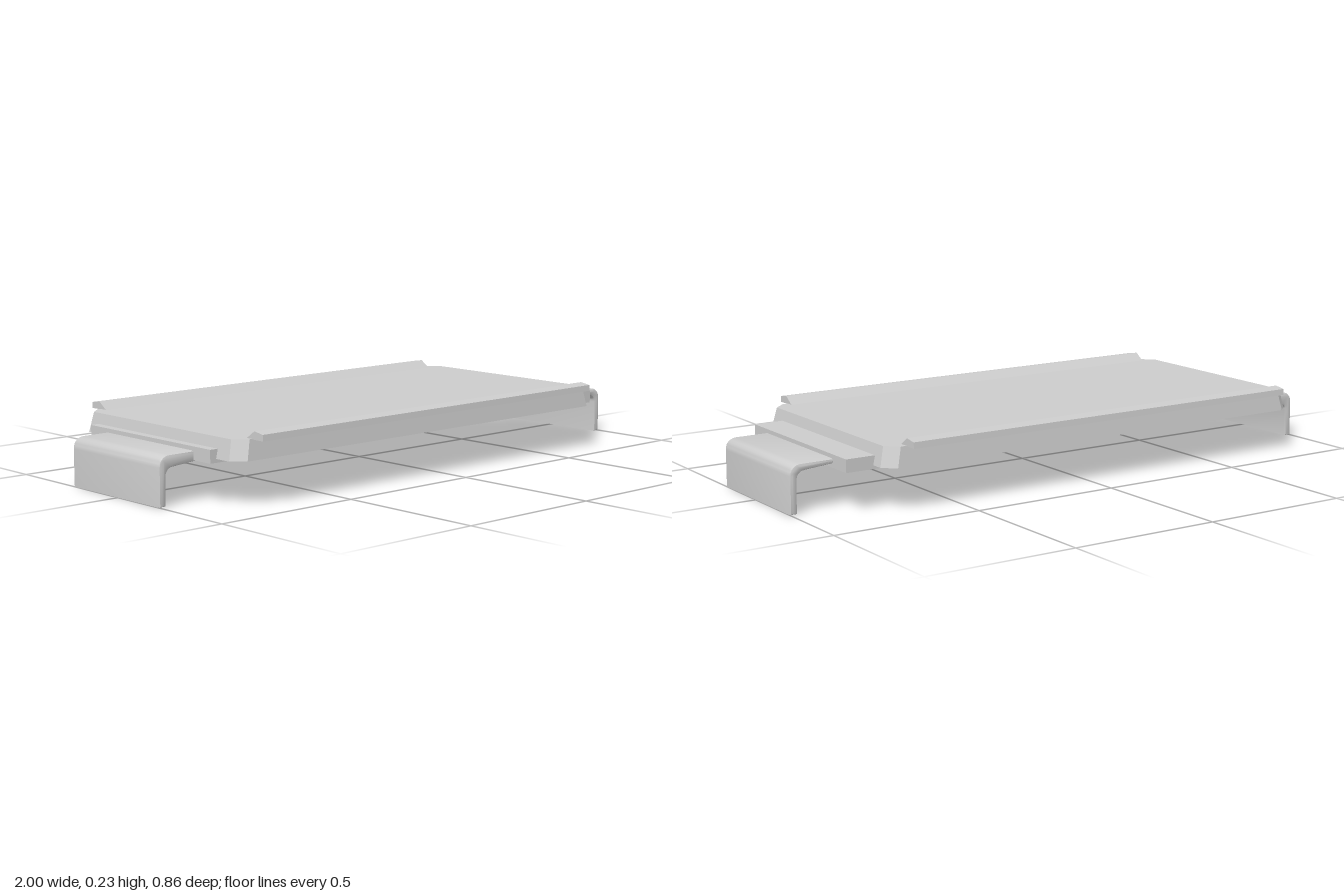
import * as THREE from 'three';
import { toCreasedNormals } from 'three/addons/utils/BufferGeometryUtils.js';

const grey = new THREE.MeshStandardMaterial({ color: 0xcccccc, flatShading: true, side: THREE.DoubleSide });
const smoothGrey = new THREE.MeshStandardMaterial({ color: 0xcccccc });

function add(group, name, geometry, material = grey) {
  const mesh = new THREE.Mesh(geometry, material);
  mesh.name = name;
  group.add(mesh);
  return mesh;
}

// Rectangle with cut corners, counter-clockwise seen from above
function octagon(x0, x1, zBack, zFront, y, cx, cz) {
  return [
    [x0 + cx, zFront], [x1 - cx, zFront], [x1, zFront - cz], [x1, zBack + cz],
    [x1 - cx, zBack], [x0 + cx, zBack], [x0, zBack + cz], [x0, zFront - cz],
  ].map(([x, z]) => [x, y, z]);
}

// Thin sheet lid, open underneath, with a slightly flared skirt
function trayGeometry() {
  const top = octagon(-0.835, 0.745, -0.387, 0.38, 0.204, 0.04, 0.037);
  const rim = octagon(-0.85, 0.76, -0.395, 0.388, 0.14, 0.04, 0.037);
  const p = [];
  for (let i = 0; i < 8; i++) {
    const j = (i + 1) % 8;
    p.push(...rim[i], ...rim[j], ...top[j], ...rim[i], ...top[j], ...top[i]);
    if (i > 0 && i < 7) p.push(...top[0], ...top[i], ...top[i + 1]);
  }
  const g = new THREE.BufferGeometry();
  g.setAttribute('position', new THREE.Float32BufferAttribute(p, 3));
  g.computeVertexNormals();
  return g;
}

// Long rail: its cross-section lies in (z, y) and runs along x
function railGeometry(side) {
  const section = [[0.354, 0.203], [0.43, 0.202], [0.428, 0.222], [0.39, 0.228]];
  const shape = new THREE.Shape(section.map(([z, y]) => new THREE.Vector2(-side * z, y)));
  const g = new THREE.ExtrudeGeometry(shape, { depth: 1.47, bevelEnabled: false });
  g.rotateY(Math.PI / 2);
  g.translate(-0.785, 0, 0);
  return g;
}

// Bent handle: sheet runs outwards, curves down and ends on the ground
function handleGeometry(side, under) {
  const s = new THREE.Shape();
  const x = (v) => side * v;
  s.moveTo(x(0.82), 0.157);
  s.lineTo(x(0.965), 0.157);
  s.quadraticCurveTo(x(0.998), 0.154, x(1), 0.12);
  s.lineTo(x(1), 0);
  s.lineTo(x(0.976), 0);
  s.lineTo(x(0.974), under - 0.03);
  s.quadraticCurveTo(x(0.972), under - 0.007, x(0.945), under - 0.005);
  s.lineTo(x(0.82), under + 0.005);
  s.closePath();
  const bevel = 0.009;
  const g = new THREE.ExtrudeGeometry(s, {
    depth: 0.445 - 2 * bevel, curveSegments: 6,
    bevelSize: bevel, bevelOffset: -bevel, bevelThickness: bevel, bevelSegments: 2,
  });
  g.translate(0, 0, -0.234 + bevel);
  return toCreasedNormals(g, 0.6);
}

export function createModel() {
  const model = new THREE.Group();
  model.name = 'tray';

  add(model, 'trayLid', trayGeometry());
  add(model, 'frontRail', railGeometry(1));
  add(model, 'backRail', railGeometry(-1));

  // End brackets reach under the skirt and carry the handles
  for (const [name, x0, x1] of [['left', 0.72, 0.853], ['right', -0.872, -0.735]]) {
    const bracket = add(model, name + 'Bracket', new THREE.BoxGeometry(x1 - x0, 0.042, 0.605));
    bracket.position.set((x0 + x1) / 2, 0.149, -0.0125);
  }
  add(model, 'leftHandle', handleGeometry(1, 0.138), smoothGrey);
  add(model, 'rightHandle', handleGeometry(-1, 0.122), smoothGrey);

  return model;
}
